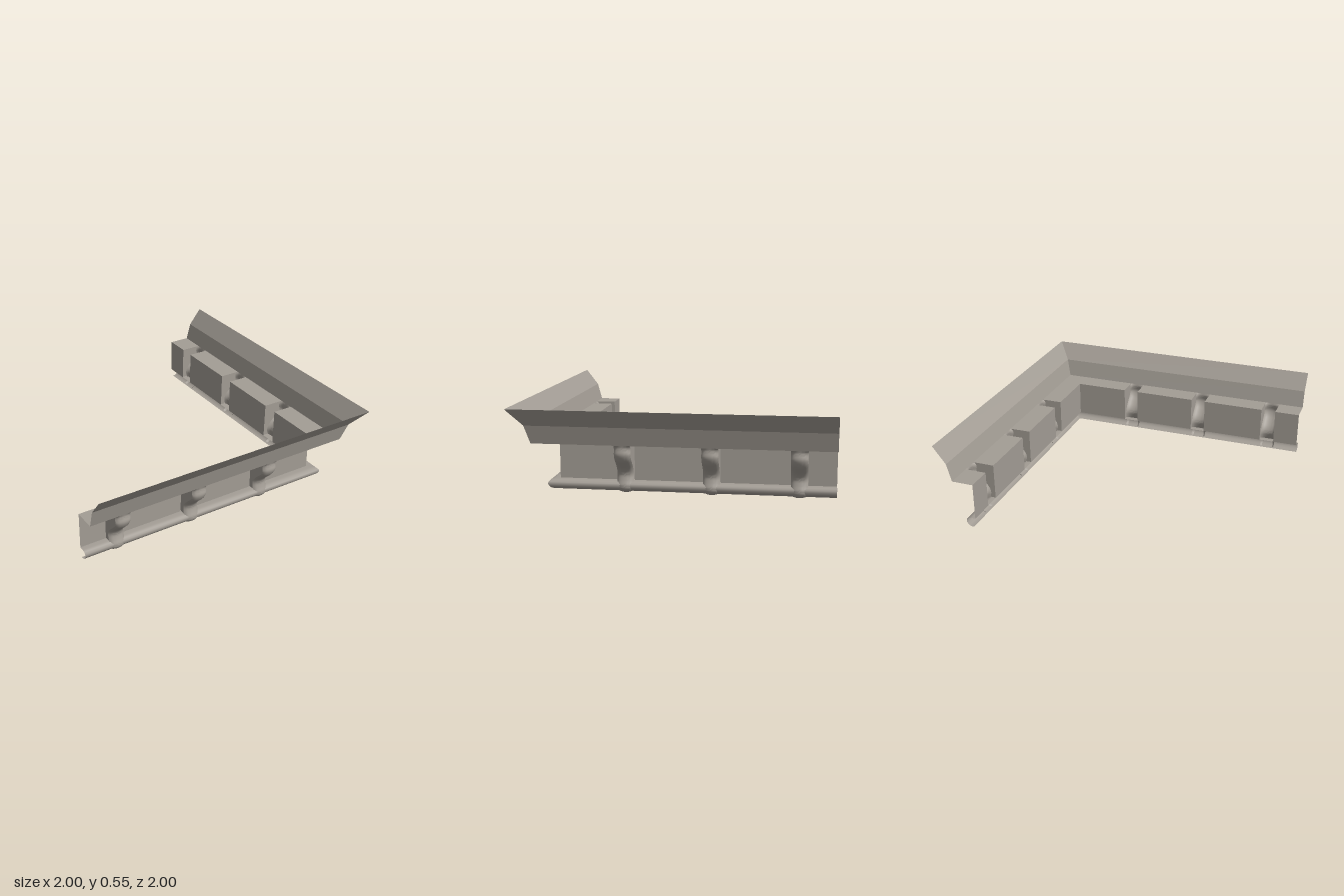
import * as THREE from 'three';
import { toCreasedNormals } from 'three/addons/utils/BufferGeometryUtils.js';

// Corner cornice: two mitred arms of thin moulding with scrolled brackets.
const WALL = 0.735, SOFFIT = 0.32, LEDGE = 0.075, HALF = 0.052;
const BRACKETS = [-0.773, -0.233, 0.307];

// Profiles as [distance outwards, height], from top to bottom
const CROWN = [[1, 0.55], [0.912, 0.437], [0.88, SOFFIT]];
const PANEL = [[0.88, SOFFIT], [WALL, SOFFIT], [WALL, LEDGE]];
const BASE = [[WALL, LEDGE], [0.765, LEDGE], [0.785, 0.072], [0.798, 0.06], [0.8, 0.046],
  [0.793, 0.03], [0.78, 0.018], [0.765, 0.012], [0.75, 0.012]];
const SCROLL = new THREE.SplineCurve([[0.88, 0.32], [0.877, 0.3], [0.885, 0.262], [0.868, 0.222],
  [0.835, 0.188], [0.803, 0.155], [0.786, 0.12], [0.793, 0.085], [0.805, 0.05], [0.795, 0.02],
  [0.77, 0.004]].map(p => new THREE.Vector2(...p)));

// Grid of points; swapping x and z turns the front arm into the side arm
function surface(rows, cols, point, swap, crease) {
  const pos = [], idx = [];
  for (let i = 0; i <= rows; i++) {
    for (let j = 0; j <= cols; j++) {
      const [x, y, z] = point(i, j);
      pos.push(...(swap ? [z, y, x] : [x, y, z]));
    }
  }
  for (let i = 0; i < rows; i++) {
    for (let j = 0; j < cols; j++) {
      const a = i * (cols + 1) + j, b = a + cols + 1;
      if (swap) idx.push(a, b + 1, b, a, a + 1, b + 1);
      else idx.push(a, b, b + 1, a, b + 1, a + 1);
    }
  }
  const g = new THREE.BufferGeometry();
  g.setAttribute('position', new THREE.Float32BufferAttribute(pos, 3));
  g.setIndex(idx);
  return toCreasedNormals(g, crease);
}

// Straight run of a profile; without an end it stops on the mitre
function run(profile, start, end, swap, crease) {
  return surface(profile.length - 1, 1, (i, j) => {
    const [out, y] = profile[i];
    return [j ? (end ?? out) : start, y, out];
  }, swap, crease);
}

// Point on the rounded scroll face, u across from -1 to 1
function scrollPoint(t, u) {
  const p = SCROLL.getPoint(t), d = SCROLL.getTangent(t);
  const inset = 0.026 * (1 - Math.sqrt(1 - 0.96 * u * u)) * Math.min(1, t * 8);
  return [p.x + d.y * inset, p.y - d.x * inset];
}

export function createModel() {
  const model = new THREE.Group();
  model.name = 'cornerCornice';
  const stone = new THREE.MeshStandardMaterial({ color: 0xa39d95, side: THREE.DoubleSide });
  stone.name = 'warm grey stone';

  for (const swap of [false, true]) {
    const arm = new THREE.Group();
    arm.name = swap ? 'sideArm' : 'frontArm';
    model.add(arm);
    const add = (name, geometry) => {
      const mesh = new THREE.Mesh(geometry, stone);
      mesh.name = name;
      arm.add(mesh);
    };

    add('crown', run(CROWN, -1, null, swap, 0.1));
    add('baseMoulding', run(BASE, -1, null, swap, 0.8));

    // Wall and soffit between the brackets
    let start = -1;
    for (const c of [...BRACKETS, null]) {
      add('wallPanel', run(PANEL, start, c === null ? null : c - HALF, swap, 0.1));
      start = c + HALF;
    }

    // Brackets: rounded scroll face and two flat cheeks, open at the back
    const N = 40, M = 12;
    const edge = [];
    for (let i = 0; i <= N; i++) {
      const e = scrollPoint(i / N, 1);
      if (e[1] >= LEDGE) edge.push(e);
    }
    for (const c of BRACKETS) {
      add('bracketFace', surface(N, M, (i, j) => {
        const u = j / M * 2 - 1;
        const [out, y] = scrollPoint(i / N, u);
        return [c + u * HALF, Math.max(0, y), out];
      }, swap, 1));
      for (const s of [-1, 1]) {
        add('bracketCheek', surface(edge.length - 1, 1, (i, j) =>
          [c + s * HALF, edge[i][1], (j === 1) === (s < 0) ? edge[i][0] : WALL], swap, 0.1));
      }
    }
  }
  return model;
}
